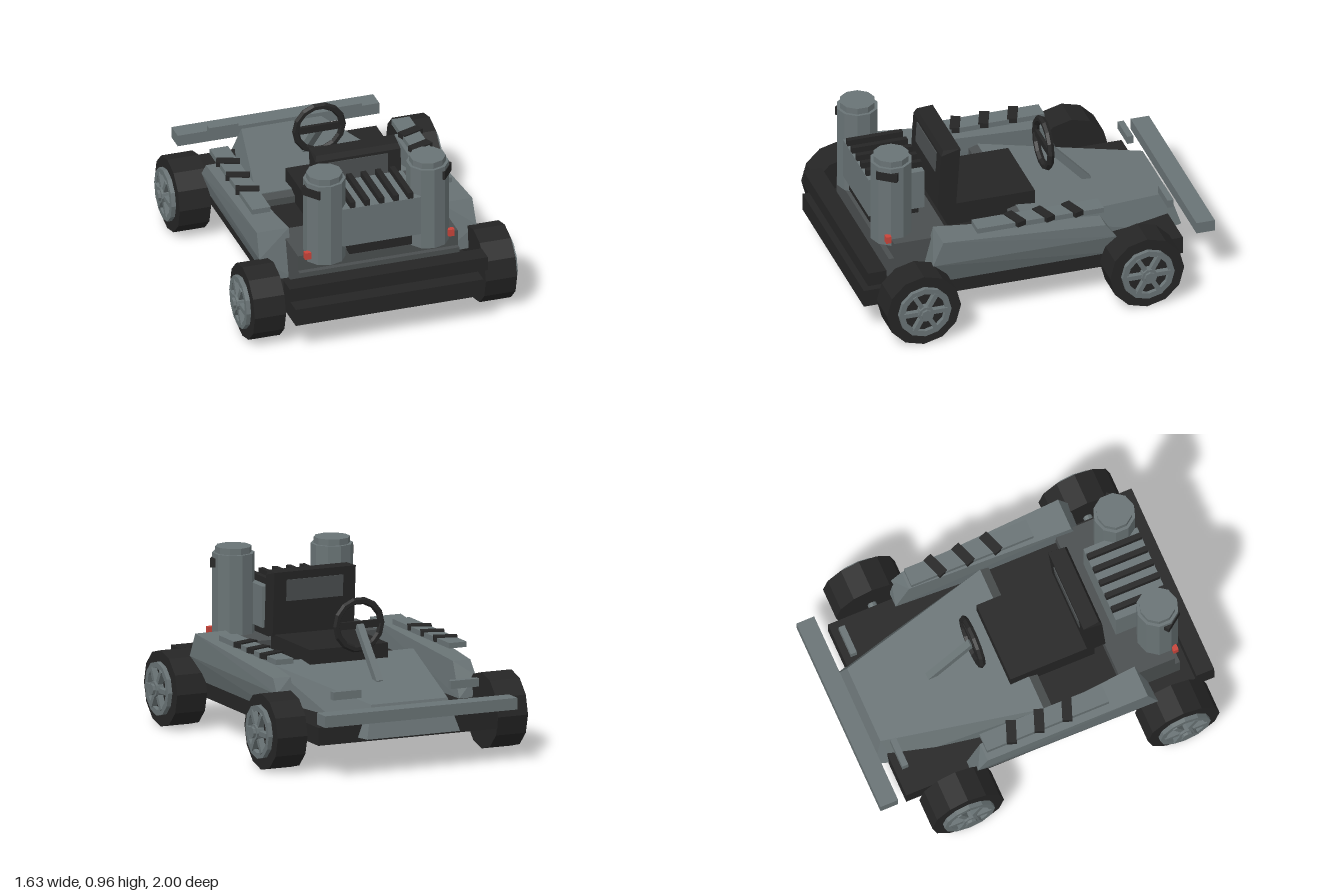
import * as THREE from 'three';
import { ConvexGeometry } from 'three/addons/geometries/ConvexGeometry.js';

export function createModel() {
  const model = new THREE.Group();
  model.name = 'kart';
  const material = (name, color) => {
    const m = new THREE.MeshStandardMaterial({ color });
    m.name = name;
    return m;
  };
  const grey = material('body grey', 0x697375);
  const dark = material('dark grey', 0x4a4e4f);
  const black = material('black', 0x252525);
  const red = material('red', 0xc8443a);

  // Faceted mesh
  const add = (name, geometry, mat, parent = model) => {
    const g = geometry.index ? geometry.toNonIndexed() : geometry;
    g.computeVertexNormals();
    const mesh = new THREE.Mesh(g, mat);
    mesh.name = name;
    parent.add(mesh);
    return mesh;
  };
  // Box given by its limits
  const box = (name, mat, x0, x1, y0, y1, z0, z1, parent = model) => {
    const mesh = add(name, new THREE.BoxGeometry(Math.abs(x1 - x0), y1 - y0, z1 - z0), mat, parent);
    mesh.position.set((x0 + x1) / 2, (y0 + y1) / 2, (z0 + z1) / 2);
    return mesh;
  };
  // Solid spanned by its corner points
  const hull = (name, mat, points) =>
    add(name, new ConvexGeometry(points.map((p) => new THREE.Vector3(...p))), mat);
  const bothSides = (points) => points.flatMap(([x, y, z]) => [[x, y, z], [-x, y, z]]);

  // Chassis, bumper and wing
  box('floorPan', black, -0.54, 0.54, 0.165, 0.265, -0.83, 1);
  box('bumperBar', black, -0.57, 0.57, 0.31, 0.39, 0.88, 0.985);
  box('wing', grey, -0.58, 0.58, 0.3, 0.365, -1, -0.895);

  // Tapered hood and nose
  hull('hood', grey, bothSides([
    [0.28, 0.19, -0.905], [0.23, 0.37, -0.85],
    [0.45, 0.265, 0.03], [0.44, 0.46, 0.03], [0.31, 0.19, -0.8],
  ]));
  hull('hoodRearEdge', dark, bothSides([
    [0.44, 0.27, 0.03], [0.44, 0.455, 0.03], [0.44, 0.27, 0.08], [0.44, 0.44, 0.08],
  ]));
  box('cockpitFloor', black, -0.44, 0.44, 0.26, 0.4, 0.08, 0.5);

  // Seat with a leaning backrest
  box('seatCushion', black, -0.235, 0.235, 0.3, 0.53, -0.08, 0.42);
  hull('seatBack', black, bothSides([
    [0.245, 0.52, 0.375], [0.245, 0.52, 0.48], [0.245, 0.88, 0.35],
    [0.245, 0.85, 0.46], [0.235, 0.88, 0.445],
  ]));
  for (const [z, tilt] of [[0.353, -0.07], [0.461, -0.06]]) {
    const panel = add('seatPanel', new THREE.BoxGeometry(0.34, 0.12, 0.009), dark);
    panel.position.set(0, 0.775, z + 0.004);
    panel.rotation.x = tilt;
  }

  // Engine on a stepped base
  box('engineBase', dark, -0.46, 0.46, 0.265, 0.39, 0.48, 0.83);
  box('engineDeck', dark, -0.46, 0.46, 0.39, 0.48, 0.48, 0.8);
  box('engineFoot', black, -0.18, 0.18, 0.47, 0.54, 0.57, 0.85);
  box('engineBlock', grey, -0.225, 0.225, 0.535, 0.765, 0.55, 0.87);
  for (let i = -2; i <= 2; i++) {
    box('engineFin', black, i * 0.083 - 0.015, i * 0.083 + 0.015, 0.76, 0.8, 0.55, 0.868);
  }

  // Steering wheel and column
  const wheel = add('steeringWheel', new THREE.TorusGeometry(0.135, 0.02, 6, 14), black);
  wheel.position.set(0, 0.675, -0.205);
  box('steeringSpoke', black, -0.13, 0.13, 0.655, 0.695, -0.215, -0.195);
  const from = new THREE.Vector3(0, 0.67, -0.21);
  const to = new THREE.Vector3(0, 0.4, -0.46);
  const column = add('steeringColumn', new THREE.BoxGeometry(0.04, 0.04, from.distanceTo(to)), grey);
  column.position.copy(from).lerp(to, 0.5);
  column.lookAt(to);

  for (const s of [-1, 1]) {
    // Side pod with a level rail and slanted straps
    hull('sidePod', grey, [
      [0.49, 0.265, -0.45], [0.57, 0.265, -0.45], [0.49, 0.46, -0.37], [0.595, 0.46, -0.37],
      [0.44, 0.265, 0.64], [0.575, 0.265, 0.64], [0.625, 0.4, 0.63],
      [0.435, 0.535, 0.57], [0.62, 0.535, 0.57], [0.6, 0.38, -0.43],
    ].map(([x, y, z]) => [s * x, y, z]));
    box('podRail', grey, s * 0.47, s * 0.575, 0.53, 0.56, -0.365, 0.36);
    for (const z of [-0.2, -0.035, 0.13]) {
      const strap = add('podStrap', new THREE.BoxGeometry(0.13, 0.03, 0.055), black);
      strap.position.set(s * 0.525, 0.553, z);
      strap.rotation.y = s * 0.36;
    }
    box('noseStep', grey, s * 0.27, s * 0.44, 0.405, 0.45, -0.81, -0.775);

    // Upright cylinder with cap, clamp and lamp
    const barrel = add('barrel', new THREE.CylinderGeometry(0.117, 0.117, 0.485, 10), grey);
    barrel.position.set(s * 0.297, 0.6825, 0.765);
    const cap = add('barrelCap', new THREE.CylinderGeometry(0.1, 0.1, 0.04, 10), grey);
    cap.position.set(s * 0.297, 0.94, 0.765);
    const clamp = add('barrelClamp', new THREE.BoxGeometry(0.12, 0.05, 0.03), black);
    clamp.position.set(s * 0.385, 0.873, 0.815);
    clamp.rotation.y = s * 0.93;
    box('lamp', red, s * 0.395, s * 0.43, 0.47, 0.51, 0.805, 0.835);

    // Wheels: tyre, rim ring, spokes, hub and axle
    for (const z of [0.725, -0.555]) {
      const unit = new THREE.Group();
      unit.name = 'wheel';
      unit.position.set(s * 0.575, 0.2125, z);
      unit.rotation.z = -s * Math.PI / 2;
      model.add(unit);
      const disc = (name, mat, r, y0, y1, sides = 12) => {
        const d = add(name, new THREE.CylinderGeometry(r, r, y1 - y0, sides), mat, unit);
        d.position.y = (y0 + y1) / 2;
      };
      disc('tyre', black, 0.2125, 0, 0.18);
      const ring = [[0.15, 0.17], [0.15, 0.205], [0.118, 0.205], [0.118, 0.17]];
      add('rim', new THREE.LatheGeometry(ring.map((p) => new THREE.Vector2(...p)), 12), grey, unit);
      for (let i = 0; i < 6; i++) {
        const arm = new THREE.BoxGeometry(0.026, 0.035, 0.12);
        arm.translate(0, 0.195, 0.065);
        arm.rotateY(i * Math.PI / 3);
        add('spoke', arm, grey, unit);
      }
      disc('hub', grey, 0.045, 0.17, 0.225, 10);
      disc('hubCap', grey, 0.032, 0.22, 0.24, 8);
      disc('axle', grey, 0.025, -0.1, 0.02, 8);
    }
  }
  return model;
}
